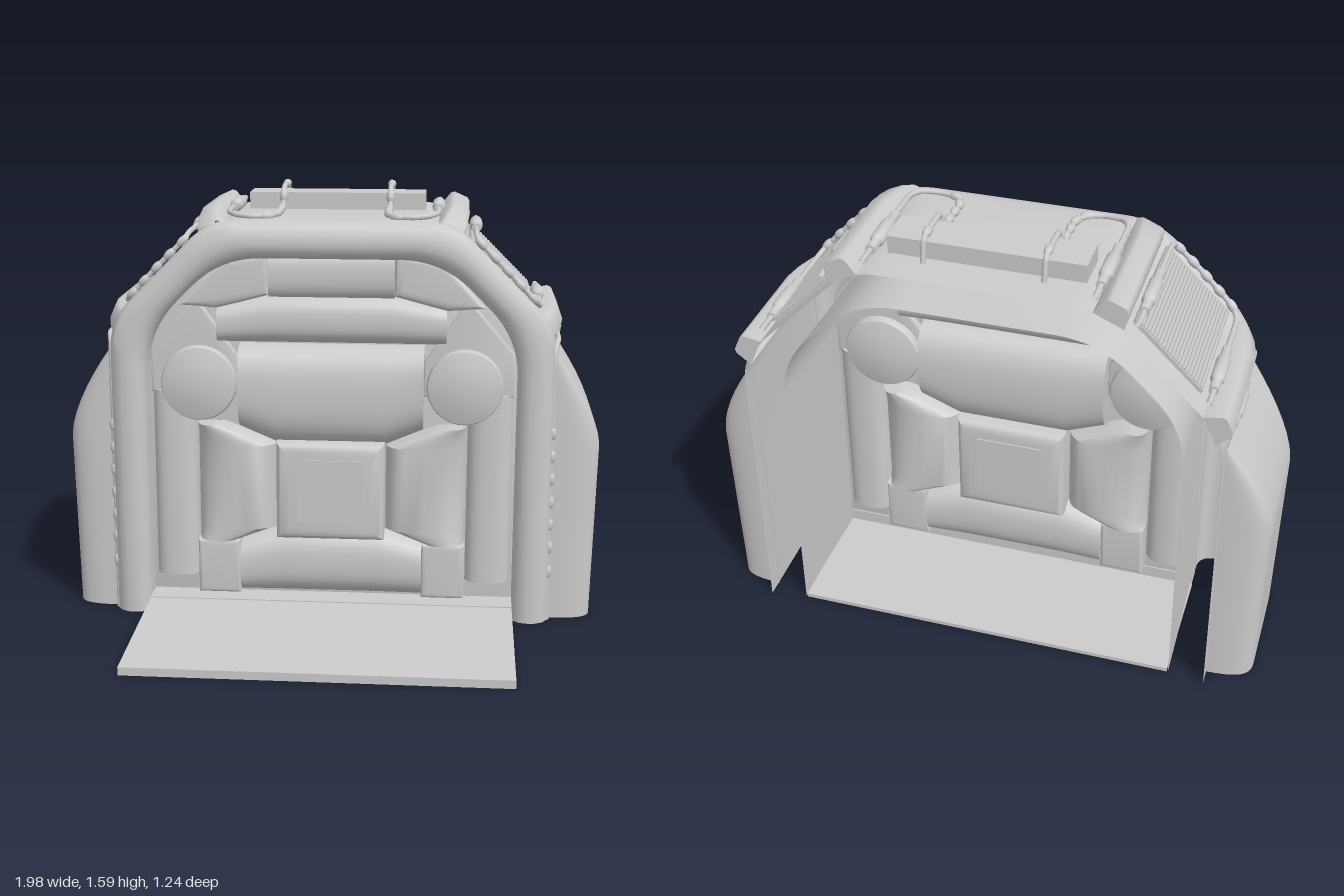
import * as THREE from 'three';
import { toCreasedNormals } from 'three/addons/utils/BufferGeometryUtils.js';

const MAT = new THREE.MeshStandardMaterial({ color: 0xcccccc, side: THREE.DoubleSide, roughness: 0.8 });
const V = (x, y, z) => new THREE.Vector3(x, y, z);

function add(parent, name, geo, x = 0, y = 0, z = 0) {
  const m = new THREE.Mesh(geo, MAT);
  m.name = name;
  m.position.set(x, y, z);
  parent.add(m);
  return m;
}

// Surface through rows of points, all rows the same length
function loft(rows, crease = 0.6) {
  const n = rows[0].length, index = [];
  for (let i = 0; i < rows.length - 1; i++) {
    for (let j = 0; j < n - 1; j++) {
      const a = i * n + j, b = a + n;
      index.push(a, a + 1, b, b, a + 1, b + 1);
    }
  }
  const g = new THREE.BufferGeometry().setFromPoints(rows.flat());
  g.setIndex(index);
  return toCreasedNormals(g, crease);
}

// Rounded five-sided arch, d outward from the door opening, at depth z; cap limits the slope (x + y)
function arch(d, z, cap = 1.925) {
  const w = 0.68 + d, h = 1.35 + d, sum = Math.min(1.75 + 1.414 * d, cap), cut = 0.15 - d * 0.35;
  const c = [[w, 0], [w, sum - w], [sum - h, h], [h - sum, h], [-w, sum - w], [-w, 0]].map(p => V(p[0], p[1], z));
  const out = [c[0]];
  for (let i = 1; i < 5; i++) {
    const p = c[i].clone().add(c[i - 1].clone().sub(c[i]).setLength(cut));
    const q = c[i].clone().add(c[i + 1].clone().sub(c[i]).setLength(cut));
    out.push(...new THREE.QuadraticBezierCurve3(p, c[i], q).getPoints(8));
  }
  out.push(c[5]);
  return out;
}

const DOOR_Z = -0.115;
// Flat plate with rounded rims, the same on its front and back
function pad(parent, name, pts, half, bevel) {
  const shape = new THREE.Shape(pts.map(p => new THREE.Vector2(p[0], p[1])));
  const core = 2 * half - 1.2 * bevel;
  const g = new THREE.ExtrudeGeometry(shape, {
    depth: core, bevelEnabled: true, bevelSize: bevel, bevelOffset: -bevel, bevelThickness: 0.6 * bevel, bevelSegments: 4,
  });
  g.translate(0, 0, -core / 2);
  add(parent, name, toCreasedNormals(g, 0.6), 0, 0, DOOR_Z);
}
const both = pts => [...pts, ...pts.map(p => [-p[0], p[1]]).reverse()];

// Barrel cushion with flat ends; stations are [position along axis, low, high]
function roll(parent, name, stations, half, vertical = false) {
  const soft = v => Math.sign(v) * Math.pow(Math.abs(v), 0.75);
  const row = ([s, lo, hi], k) => Array.from({ length: 33 }, (_, i) => {
    const a = i / 32 * Math.PI * 2;
    const c = (lo + hi) / 2 + k * (hi - lo) / 2 * soft(Math.cos(a)), z = k * half * soft(Math.sin(a));
    return vertical ? V(c, s, z) : V(s, c, z);
  });
  const rows = stations.map(s => row(s, 1));
  add(parent, name, loft([row(stations[0], 0), ...rows, row(stations.at(-1), 0)]), 0, 0, DOOR_Z);
}
const mirrored = half => [...half, ...half.map(([s, lo, hi]) => [-s, lo, hi]).reverse()];

// Cable with beads at given fractions of its length
function cable(parent, name, pts, beads) {
  const curve = new THREE.CatmullRomCurve3(pts.map(p => V(...p)), false, 'catmullrom', 0.2);
  add(parent, name, new THREE.TubeGeometry(curve, 72, 0.01, 8));
  for (const t of beads) {
    const p = curve.getPointAt(t);
    const b = add(parent, name + 'Bead', new THREE.SphereGeometry(0.016, 10, 8), p.x, p.y, p.z);
    b.scale.y = 1.8;
    b.quaternion.setFromUnitVectors(V(0, 1, 0), curve.getTangentAt(t));
  }
}

// Stepped sleeve lying along z
function sleeve(parent, x, y) {
  const prof = [[0, -0.12], [0.017, -0.12], [0.017, -0.065], [0.024, -0.055], [0.024, 0.055], [0.017, 0.065], [0.017, 0.12], [0, 0.12]];
  const g = new THREE.LatheGeometry(prof.map(p => new THREE.Vector2(...p)), 12);
  add(parent, 'cableSleeve', toCreasedNormals(g, 0.6), x, y, -0.385).rotation.x = Math.PI / 2;
}

function buildDoor(door) {
  pad(door, 'doorBoard', both([[0.685, 0.02], [0.685, 1.06], [0.41, 1.36]]), 0.03, 0.005);
  roll(door, 'lowerCushion', mirrored([[-0.34, 0.07, 0.28], [-0.18, 0.07, 0.33]]), 0.11);
  roll(door, 'middleCushion', mirrored([[-0.34, 0.71, 1.03], [-0.2, 0.65, 1.03]]), 0.125);
  roll(door, 'upperCushion', mirrored([[-0.42, 1.03, 1.17], [-0.23, 1.03, 1.21]]), 0.09);
  roll(door, 'topLip', mirrored([[-0.23, 1.19, 1.38]]), 0.075);
  // Centre panel with sloping sides and a raised plate
  pad(door, 'panelFrame', both([[0.2, 0.3], [0.2, 0.67]]), 0.135, 0.05);
  add(door, 'panelPlate', new THREE.BoxGeometry(0.24, 0.24, 0.28), 0, 0.49, DOOR_Z);
}

// Door parts on one flank
function buildDoorSide(side) {
  roll(side, 'sideCushion', [[0.28, 0.34, 0.5], [0.33, 0.2, 0.5], [0.65, 0.2, 0.5], [0.71, 0.34, 0.5], [0.73, 0.4, 0.5]], 0.115, true);
  pad(side, 'footBlock', [[0.34, 0.07], [0.5, 0.07], [0.5, 0.28], [0.34, 0.28]], 0.095, 0.02);
  roll(side, 'sideRoll', [[0.13, 0.5, 0.67], [0.85, 0.5, 0.67]], 0.08, true);
  pad(side, 'cornerFin', [[0.34, 0.97], [0.5, 1.2], [0.67, 1.0], [0.67, 0.84], [0.34, 0.84]], 0.055, 0.01);
  pad(side, 'shoulderPad', [[0.23, 1.21], [0.42, 1.16], [0.56, 1.17], [0.41, 1.34], [0.23, 1.36]], 0.07, 0.03);
  // Domed disc showing on both faces
  const dome = [[0, -0.105], [0.08, -0.1], [0.135, -0.085], [0.14, -0.075], [0.14, 0.075], [0.135, 0.085], [0.08, 0.1], [0, 0.105]];
  const disc = new THREE.LatheGeometry(dome.map(p => new THREE.Vector2(...p)), 40);
  add(side, 'roundDisc', toCreasedNormals(disc, 0.6), 0.49, 0.88, DOOR_Z).rotation.x = Math.PI / 2;
}

function buildOuterSide(side) {
  // Side pod: bowed wall with a tapering flat shoulder patch
  const rows = [0, 0.3, 0.6, 0.66, 0.7, 0.75, 0.8, 0.85, 0.9, 0.95, 1.0].map(y => {
    const up = Math.max(0, (y - 0.66) / 0.34), edge = 0.63 + 0.27 * up;
    const far = 0.975 + 0.015 * Math.min(1, y / 0.66) - 0.165 * Math.pow(up, 1.5);
    return Array.from({ length: 41 }, (_, i) => {
      const u = i / 20 - 1, k = Math.max(0, (Math.abs(u) - 0.4) / 0.6);
      const t = Math.sign(u) * (k > 0 ? edge + Math.sin(k * Math.PI / 2) * (1 - edge) : Math.abs(u) / 0.4 * edge);
      return V(0.815 + (far - 0.815) * (1 - Math.pow(k, 2.8)), y, -0.3 + 0.26 * t);
    });
  });
  add(side, 'sidePod', loft(rows, 1));

  // Rails along the two roof edges, sinking into the shell toward the front
  const section = [[-0.055, -0.04], [-0.04, 0.02], [-0.028, 0.03], [0.028, 0.03], [0.04, 0.02], [0.055, -0.04]];
  const stations = [[-0.62, 0], [-0.62, 1], [-0.22, 1], [-0.14, 0.8], [-0.07, 0.45], [-0.02, -0.1]];
  for (const [x, y, a] of [[0.45, 1.492, -0.42], [0.805, 1.122, -1.15]]) {
    const rail = stations.map(([z, k], i) => section.map(p => V(p[0], i ? -0.04 + (p[1] + 0.04) * (0.3 + 0.7 * k) : -0.04, z)));
    add(side, 'roofRail', loft(rail, 0.7), x, y, 0).rotation.z = a;
  }

  // Ribbed vent on the slope
  const vent = new THREE.Group();
  vent.name = 'slopeVent';
  vent.position.set(0.608, 1.298, -0.3);
  vent.rotation.z = -Math.PI / 4;
  side.add(vent);
  add(vent, 'ventPlate', new THREE.BoxGeometry(0.32, 0.02, 0.47));
  for (let i = 0; i < 22; i++) {
    add(vent, 'ventRib', new THREE.CylinderGeometry(0.0075, 0.0075, 0.46, 6), -0.147 + i * 0.014, 0.008, 0).rotation.x = Math.PI / 2;
  }

  // Cables, beads and sleeves
  cable(side, 'sideCable', [[0.81, 0, -0.025], [0.81, 0.5, -0.025], [0.81, 0.98, -0.025], [0.815, 1.04, -0.05], [0.825, 1.06, -0.1], [0.825, 1.06, -0.58]],
    [0.12, 0.18, 0.235, 0.29, 0.345, 0.4, 0.455]);
  cable(side, 'slopeCable', [[0.52, 1.435, -0.58], [0.52, 1.435, -0.1], [0.535, 1.41, -0.05], [0.63, 1.315, -0.045], [0.73, 1.21, -0.05], [0.755, 1.18, -0.1], [0.755, 1.18, -0.58]],
    [0.4, 0.45, 0.5, 0.55, 0.6]);
  cable(side, 'roofCable', [[0.38, 1.505, -0.58], [0.38, 1.505, -0.14], [0.35, 1.5, -0.08], [0.29, 1.495, -0.065], [0.23, 1.495, -0.08], [0.2, 1.5, -0.14],
    [0.2, 1.51, -0.3], [0.2, 1.56, -0.325], [0.2, 1.575, -0.35], [0.2, 1.575, -0.47], [0.2, 1.56, -0.495], [0.2, 1.49, -0.51]], [0.54, 0.59, 0.64, 0.69, 0.77, 0.9]);
  sleeve(side, 0.825, 1.06);
  sleeve(side, 0.52, 1.435);
  sleeve(side, 0.755, 1.18);
  sleeve(side, 0.38, 1.505);
}

export function createModel() {
  const model = new THREE.Group();
  model.name = 'entrancePod';

  // Inner tunnel, rounded front frame and outer shell in one sweep: [offset, z, slope cap]
  const profile = [[0.01, -0.6], [0, -0.2], [0, -0.02], [0.008, 0.005], [0.025, 0.022], [0.05, 0.03], [0.085, 0.028],
    [0.115, 0.012], [0.13, -0.015], [0.135, -0.045], [0.138, -0.065, 1.905], [0.14, -0.2, 1.9], [0.14, -0.62, 1.9]];
  add(model, 'archShell', loft(profile.map(p => arch(...p))));

  // Threshold, floor and ramp
  add(model, 'threshold', new THREE.BoxGeometry(1.36, 0.06, 0.17), 0, 0.03, -0.065);
  add(model, 'floor', new THREE.BoxGeometry(1.37, 0.015, 0.46), 0, 0.0075, -0.37);
  const ramp = new THREE.Shape([[-0.02, 0], [0.62, 0], [0.62, 0.03], [-0.02, 0.058]].map(p => new THREE.Vector2(...p)));
  const rampGeo = new THREE.ExtrudeGeometry(ramp, { depth: 1.36, bevelEnabled: false });
  rampGeo.rotateY(-Math.PI / 2);
  add(model, 'ramp', rampGeo, 0.68, 0, 0);

  // Roof box
  add(model, 'roofBox', new THREE.BoxGeometry(0.66, 0.075, 0.14), 0, 1.515, -0.41);

  const door = new THREE.Group();
  door.name = 'door';
  buildDoor(door);
  model.add(door);

  // Mirrored flanks
  for (const s of [1, -1]) {
    const side = new THREE.Group();
    side.name = s > 0 ? 'leftSide' : 'rightSide';
    buildDoorSide(side);
    buildOuterSide(side);
    side.scale.x = s;
    model.add(side);
  }
  return model;
}
